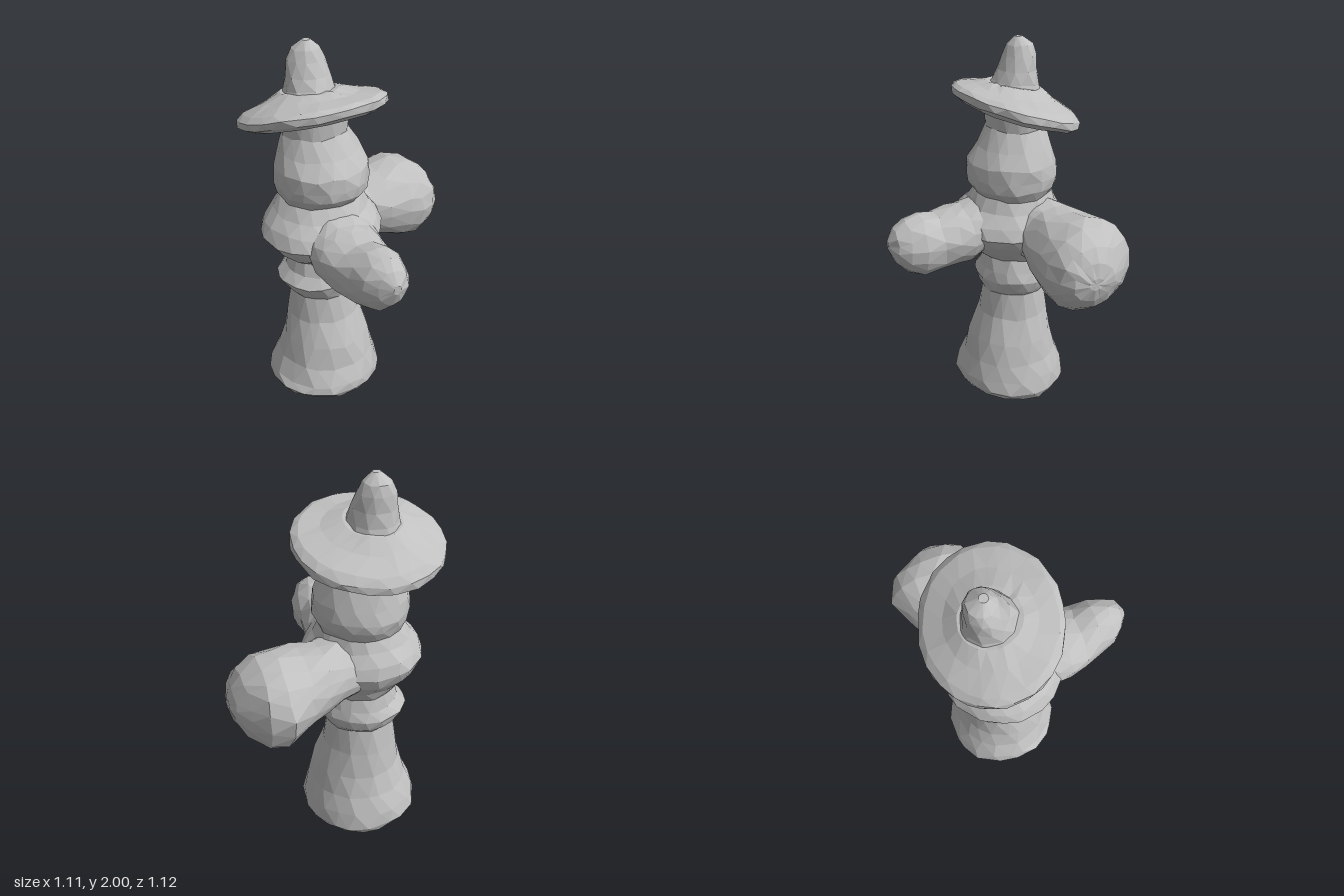
import * as THREE from 'three';

// Small seeded generator for the chiselled surface
let seed = 7;
const rand = () => {
  seed = (seed * 16807) % 2147483647;
  return seed / 2147483647 - 0.5;
};

// u, v and lengthwise axis indices (0 = x, 1 = y, 2 = z), right-handed
const FRAMES = { x: [1, 2, 0], y: [2, 0, 1], z: [0, 1, 2] };

// Closed faceted loft. Ring: [x, y, z, radiusU, radiusV, slopeU, slopeV]
function loft(name, axis, rings, material, rough = 0.02, sides = 15) {
  const [u, v, w] = FRAMES[axis];
  const pos = [];
  const index = [];
  rings.forEach(([x, y, z, ru, rv, su = 0, sv = 0], i) => {
    const lengthwise = rough * Math.min(1, ru / 0.15);
    for (let j = 0; j < sides; j++) {
      const a = ((j + (i % 2) * 0.5 + rand() * 0.5) / sides) * Math.PI * 2;
      const k = 1.012 + rand() * rough * 3;
      const du = Math.cos(a) * ru * k;
      const dv = Math.sin(a) * rv * k;
      const p = [x, y, z];
      p[u] += du;
      p[v] += dv;
      p[w] += du * su + dv * sv + rand() * lengthwise;
      pos.push(...p);
    }
  });
  for (let i = 0; i < rings.length - 1; i++) {
    for (let j = 0; j < sides; j++) {
      const n = (j + 1) % sides;
      const a = i * sides + j, b = i * sides + n;
      const c = a + sides, d = b + sides;
      // the half-step twist alternates, so the diagonal does too
      if (i % 2) index.push(a, b, d, a, d, c);
      else index.push(a, b, c, b, d, c);
    }
  }
  // End caps
  const first = pos.length / 3;
  pos.push(...rings[0].slice(0, 3), ...rings[rings.length - 1].slice(0, 3));
  const top = (rings.length - 1) * sides;
  for (let j = 0; j < sides; j++) {
    const n = (j + 1) % sides;
    index.push(first, n, j, first + 1, top + j, top + n);
  }
  const indexed = new THREE.BufferGeometry();
  indexed.setAttribute('position', new THREE.Float32BufferAttribute(pos, 3));
  indexed.setIndex(index);
  const geometry = indexed.toNonIndexed(); // one normal per facet
  geometry.computeVertexNormals();
  const mesh = new THREE.Mesh(geometry, material);
  mesh.name = name;
  return mesh;
}

export function createModel() {
  seed = 7;
  const group = new THREE.Group();
  group.name = 'hydrant';
  const grey = new THREE.MeshStandardMaterial({ color: 0xc0c0c0 });
  grey.name = 'grey';

  // Flared foot, collar, rounded belly and head in one stack
  group.add(loft('body', 'y', [
    [-0.19, 0.03, -0.15, 0.275, 0.28, 0.07, -0.06],
    [-0.19, 0.08, -0.145, 0.31, 0.31, 0.07, -0.06],
    [-0.185, 0.145, -0.14, 0.295, 0.295],
    [-0.175, 0.24, -0.14, 0.26, 0.26],
    [-0.17, 0.36, -0.14, 0.23, 0.23],
    [-0.175, 0.5, -0.155, 0.19, 0.195],
    [-0.17, 0.65, -0.16, 0.167, 0.175],
    [-0.175, 0.68, -0.165, 0.19, 0.198],
    [-0.185, 0.735, -0.165, 0.207, 0.227],
    [-0.165, 0.79, -0.165, 0.187, 0.195],
    [-0.165, 0.86, -0.165, 0.168, 0.172],
    [-0.175, 0.92, -0.14, 0.225, 0.225],
    [-0.18, 0.98, -0.13, 0.275, 0.28],
    [-0.18, 1.04, -0.125, 0.305, 0.315],
    [-0.18, 1.1, -0.13, 0.285, 0.29],
    [-0.175, 1.16, -0.14, 0.235, 0.24],
    [-0.165, 1.22, -0.15, 0.2, 0.21],
    [-0.165, 1.27, -0.145, 0.228, 0.235],
    [-0.165, 1.32, -0.145, 0.235, 0.24],
    [-0.165, 1.39, -0.14, 0.225, 0.235],
    [-0.17, 1.47, -0.155, 0.188, 0.203],
    [-0.18, 1.56, -0.17, 0.15, 0.165],
    [-0.18, 1.66, -0.17, 0.155, 0.17, 0.3],
  ], grey, 0.014, 18));

  // Tilted brim, rising towards the crown
  group.add(loft('hatBrim', 'y', [
    [-0.185, 1.6, -0.17, 0.15, 0.17, 0.3, 0.02],
    [-0.185, 1.615, -0.17, 0.275, 0.325, 0.3, 0.02],
    [-0.185, 1.64, -0.17, 0.312, 0.368, 0.3, 0.02],
    [-0.185, 1.675, -0.17, 0.312, 0.368, 0.3, 0.02],
    [-0.185, 1.7, -0.17, 0.285, 0.335, 0.29, 0.02],
    [-0.19, 1.73, -0.17, 0.2, 0.23, 0.25],
    [-0.2, 1.765, -0.17, 0.14, 0.14, 0.18],
  ], grey, 0.009, 22));

  // Pointed crown with a rounded tip
  group.add(loft('hatCrown', 'y', [
    [-0.2, 1.7, -0.17, 0.15, 0.145, 0.2],
    [-0.2, 1.78, -0.175, 0.12, 0.12, 0.1],
    [-0.2, 1.84, -0.185, 0.1, 0.108],
    [-0.2, 1.91, -0.197, 0.083, 0.092],
    [-0.2, 1.96, -0.2, 0.066, 0.066],
    [-0.2, 2, -0.19, 0.02, 0.02],
  ], grey, 0.012, 11));

  // Bulbous side outlet
  group.add(loft('sidePipe', 'x', [
    [-0.2, 1.03, -0.17, 0.14, 0.18],
    [0.01, 1.035, -0.235, 0.165, 0.185],
    [0.1, 1.025, -0.27, 0.17, 0.19],
    [0.2, 1.01, -0.28, 0.19, 0.22],
    [0.32, 0.985, -0.307, 0.227, 0.25],
    [0.41, 0.98, -0.3, 0.225, 0.235],
    [0.49, 0.975, -0.275, 0.165, 0.17],
    [0.535, 0.975, -0.265, 0.1, 0.11],
    [0.555, 0.975, -0.265, 0.03, 0.04],
  ], grey, 0.022, 17));

  // Front outlet with a narrower neck
  group.add(loft('frontPipe', 'z', [
    [-0.16, 1.04, -0.1, 0.19, 0.15],
    [-0.165, 1.05, 0.06, 0.18, 0.13],
    [-0.17, 1.015, 0.14, 0.19, 0.15],
    [-0.17, 1.01, 0.2, 0.185, 0.15],
    [-0.16, 1.0, 0.29, 0.165, 0.15],
    [-0.135, 1.0, 0.38, 0.147, 0.165],
    [-0.13, 1.01, 0.46, 0.122, 0.145],
    [-0.12, 1.025, 0.52, 0.08, 0.095],
    [-0.12, 1.035, 0.557, 0.02, 0.025],
  ], grey, 0.018, 14));

  return group;
}
